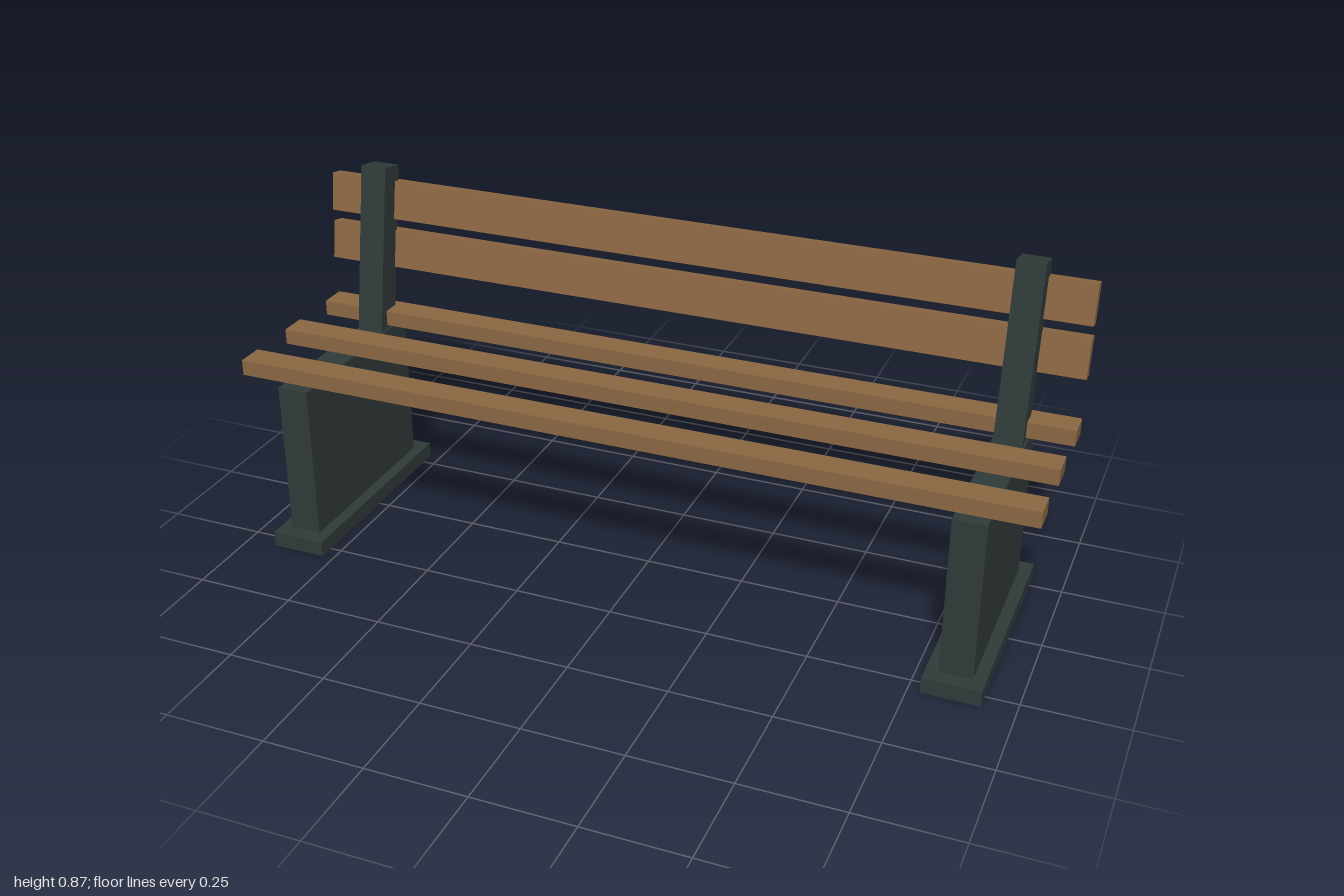
import * as THREE from 'three';

export function createModel() {
  const bench = new THREE.Group();
  bench.name = 'bench';

  const wood = new THREE.MeshStandardMaterial({ color: 0x8a6642 });
  wood.name = 'brown wood';
  const metal = new THREE.MeshStandardMaterial({ color: 0x2f3a38 });
  metal.name = 'dark green metal';

  const lean = -THREE.MathUtils.degToRad(10);

  function addBox(parent, name, material, size, position, tilt = 0) {
    const mesh = new THREE.Mesh(new THREE.BoxGeometry(...size), material);
    mesh.name = name;
    mesh.position.set(...position);
    mesh.rotation.x = tilt;
    parent.add(mesh);
  }

  // End supports: foot, side panel and leaning back post
  for (const [side, x] of [['left', 0.85], ['right', -0.85]]) {
    const support = new THREE.Group();
    support.name = side + 'Support';
    support.position.x = x;
    addBox(support, 'foot', metal, [0.14, 0.04, 0.58], [0, 0.02, 0]);
    addBox(support, 'sidePanel', metal, [0.08, 0.4, 0.5], [0, 0.24, 0]);
    addBox(support, 'backPost', metal, [0.07, 0.45, 0.07], [0, 0.645, -0.205], lean);
    bench.add(support);
  }

  // Seat slats
  for (const z of [0.2, 0, -0.2]) {
    addBox(bench, 'seatSlat', wood, [2, 0.04, 0.07], [0, 0.47, z]);
  }

  // Backrest slats, behind the posts
  for (const [y, z] of [[0.641, -0.25], [0.771, -0.2625]]) {
    addBox(bench, 'backSlat', wood, [2, 0.1, 0.035], [0, y, z], lean);
  }

  return bench;
}
